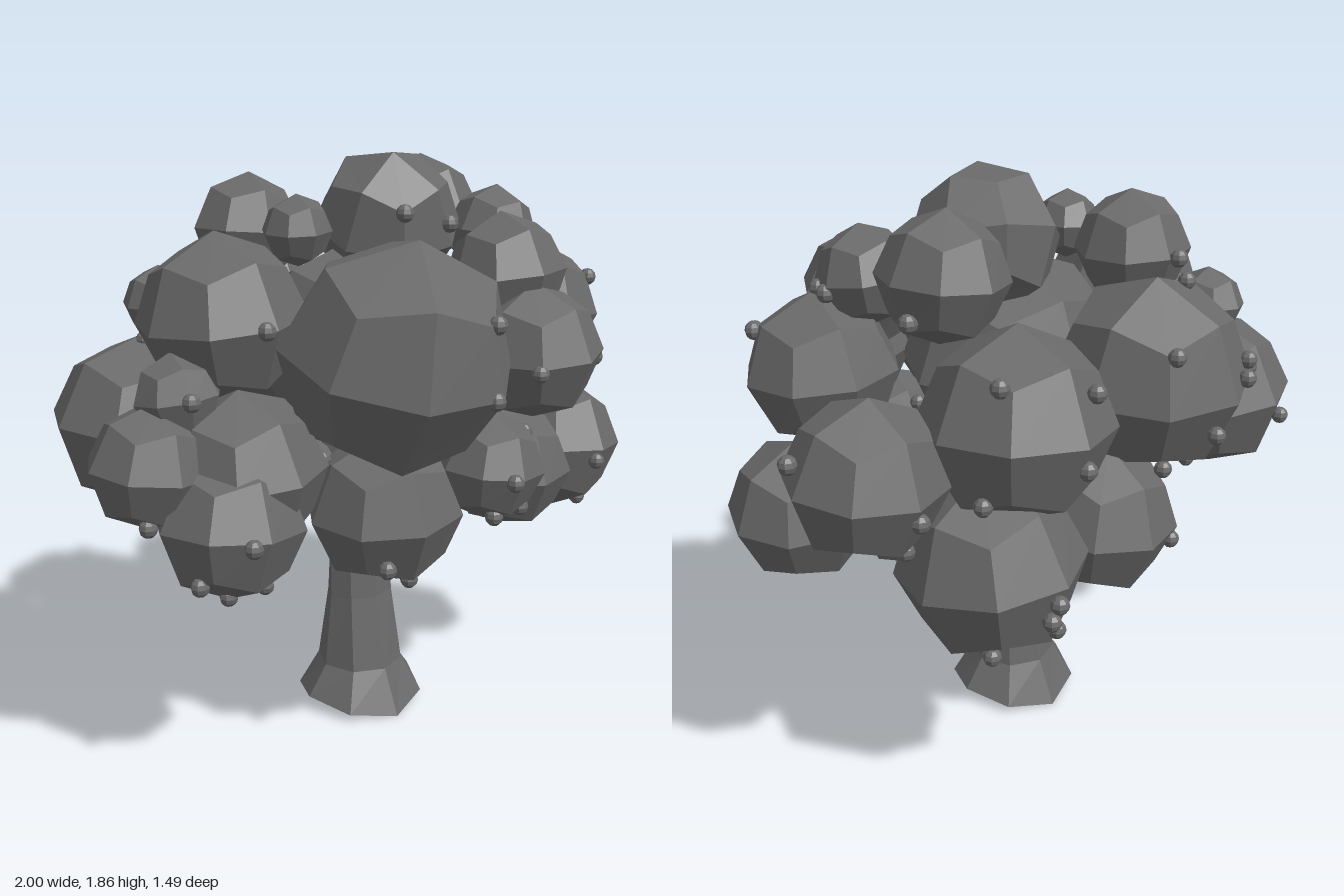
import * as THREE from 'three';

const grey = new THREE.MeshStandardMaterial({ color: 0x696969, flatShading: true });

// Leaf clumps: x, y, z, radius
const CLUMPS = [
  [-0.52, 1.4, 0.02, 0.26], [-0.66, 1.05, -0.28, 0.275], [-0.72, 1.21, 0.1, 0.13],
  [-0.81, 1.02, 0.1, 0.19], [-0.55, 0.98, 0.18, 0.245], [-0.64, 0.85, 0.24, 0.225],
  [-0.16, 0.83, 0.34, 0.245], [0.69, 0.86, 0.21, 0.235], [0.37, 1.26, 0.42, 0.22],
  [0.14, 0.94, 0.48, 0.17], [0.37, 1.49, 0.28, 0.195], [0.5, 1.6, 0.07, 0.15],
  [0.46, 1.65, -0.24, 0.19], [-0.25, 1.62, -0.27, 0.18], [-0.25, 1.64, 0.02, 0.11],
  [-0.16, 1.28, -0.45, 0.31], [0.37, 1.26, -0.44, 0.285], [0.63, 1.33, 0.13, 0.235],
  [0.77, 1.16, -0.28, 0.235], [0.45, 0.84, -0.42, 0.285], [0.04, 0.86, -0.45, 0.24],
  [0.42, 0.84, 0, 0.19], [-0.53, 1.4, -0.35, 0.12], [-0.36, 0.87, -0.1, 0.15],
  [0.39, 0.85, 0.3, 0.21], [0, 1.25, 0, 0.36],
  // Clumps with a strong turn: rotation about x, y, z
  [-0.17, 1.31, 0.405, 0.355, 0.28, -0.4, 0], [0.1, 1.645, 0.01, 0.24, 0.3, 0.4, 0.2],
];

// Berry spots, each pair read across one viewing axis
const FRONT_SPOTS = [
  [-0.52, 1.4], [-0.05, 1.43], [-0.06, 1.22], [0.01, 1.69], [0.18, 1.65], [0.77, 1.44],
  [0.64, 1.57], [0.24, 1.23], [0.56, 1.23], [0.97, 1.24], [-0.74, 1.22], [-0.33, 0.99],
  [-0.69, 0.85], [0.1, 0.93], [0.34, 1], [0.46, 1.04], [0.68, 0.84], [0.7, 1.1],
  [-0.27, 0.7], [-0.53, 0.63], [-0.67, 0.64], [-0.14, 0.62], [0.1, 0.8], [0.21, 0.81],
  [0.49, 0.62], [0.75, 0.66], [-0.87, 0.87], [-0.79, 0.72],
];
const SIDE_SPOTS = [ // z, y
  [0.27, 1.44], [0.13, 1.57], [-0.12, 1.53], [-0.28, 1.56], [-0.46, 1.62], [-0.56, 1.44],
  [-0.67, 1.42], [-0.72, 1.16], [-0.22, 1.24], [0.18, 1.1], [0.05, 1.1], [-0.53, 1.1],
  [-0.34, 0.93], [-0.71, 0.83], [-0.68, 0.76], [-0.25, 0.61], [-0.39, 0.56], [-0.53, 0.61],
];
const BACK_SPOTS = [
  [-0.3, 1.3], [-0.1, 1.02], [-0.1, 0.8], [-0.6, 1.2], [0.35, 1.2], [0.4, 0.7],
  [-0.75, 1.0], [0.75, 1.1], [-0.5, 0.85],
];
const TOP_SPOTS = [[-0.28, -0.47], [-0.64, -0.25], [0.02, 0.24], [0.18, 0.24], [0.28, -0.66], [-0.36, -0.66]];

// Twenty-four flat kite faces: a split cube pushed out to a sphere
function clumpGeometry() {
  const geo = new THREE.BoxGeometry(2, 2, 2, 2, 2, 2);
  const p = geo.attributes.position;
  const v = new THREE.Vector3();
  for (let i = 0; i < p.count; i++) {
    v.fromBufferAttribute(p, i);
    const corner = Math.abs(v.x * v.y * v.z) > 0.5;
    v.setLength(corner ? 0.95 : 1);
    p.setXYZ(i, v.x, v.y, v.z);
  }
  return geo;
}

// Outermost clump surface on a line along one axis, or the depth of the nearest clump
function surfaceDepth(axis, sign, a, b) {
  const [i, j] = [0, 1, 2].filter((k) => k !== axis);
  let best = -Infinity, gap = Infinity, fallback = 0;
  for (const c of CLUMPS) {
    const d = Math.hypot(a - c[i], b - c[j]);
    const r = c[3] * 0.95;
    if (d < r) best = Math.max(best, sign * c[axis] + Math.sqrt(r * r - d * d));
    if (d - r < gap) { gap = d - r; fallback = sign * c[axis]; }
  }
  return sign * (best > -Infinity ? best : fallback);
}

// Tapered limb swept through rings of [x, y, z, radiusX, radiusZ]
function limb(name, rings, sides) {
  const pos = [], idx = [];
  for (const [x, y, z, rx, rz] of rings) {
    for (let s = 0; s < sides; s++) {
      const t = (s / sides) * Math.PI * 2;
      pos.push(x + Math.sin(t) * rx, y, z + Math.cos(t) * rz);
    }
  }
  for (let k = 0; k < rings.length - 1; k++) {
    for (let s = 0; s < sides; s++) {
      const a = k * sides + s, b = k * sides + (s + 1) % sides;
      idx.push(a, b, b + sides, a, b + sides, a + sides);
    }
  }
  // End caps
  const last = (rings.length - 1) * sides;
  for (let s = 1; s < sides - 1; s++) {
    idx.push(0, s + 1, s, last, last + s, last + s + 1);
  }
  const geo = new THREE.BufferGeometry();
  geo.setAttribute('position', new THREE.Float32BufferAttribute(pos, 3));
  geo.setIndex(idx);
  geo.computeVertexNormals();
  const mesh = new THREE.Mesh(geo, grey);
  mesh.name = name;
  return mesh;
}

export function createModel() {
  const tree = new THREE.Group();
  tree.name = 'tree';

  // Trunk with a flared foot that dips to the ground at front and back
  const trunk = limb('trunk', [
    [0, 0.04, 0, 0.215, 0.215], [0, 0.15, 0, 0.145, 0.145],
    [0, 0.4, 0, 0.12, 0.095], [0, 0.63, 0, 0.115, 0.075],
  ], 8);
  const p = trunk.geometry.attributes.position;
  for (let s = 0; s < 8; s++) p.setY(s, 0.05 * Math.sin((s / 8) * Math.PI * 2) ** 2);
  tree.add(trunk);

  // Branches rising into the crown
  const branches = new THREE.Group();
  branches.name = 'branches';
  branches.add(
    limb('rightBranch', [[-0.05, 0.56, 0, 0.06, 0.07], [-0.16, 0.8, 0.02, 0.055, 0.055], [-0.4, 1.05, 0.05, 0.04, 0.04]], 6),
    limb('middleBranch', [[0.04, 0.56, 0, 0.085, 0.07], [0.11, 0.76, 0.03, 0.085, 0.07], [0.2, 1.1, 0.1, 0.05, 0.05]], 6),
    limb('leftBranch', [[0.06, 0.5, -0.02, 0.06, 0.055], [0.27, 0.7, -0.08, 0.07, 0.055], [0.55, 0.98, -0.17, 0.045, 0.04]], 6),
    limb('backBranch', [[0, 0.54, -0.02, 0.085, 0.06], [-0.02, 0.74, -0.16, 0.075, 0.06], [-0.05, 1.0, -0.36, 0.05, 0.05]], 6),
  );
  tree.add(branches);

  // Crown of faceted leaf clumps, most of them only slightly turned
  const crown = new THREE.Group();
  crown.name = 'crown';
  const clump = clumpGeometry();
  CLUMPS.forEach(([x, y, z, r, rx, ry, rz], i) => {
    const mesh = new THREE.Mesh(clump, grey);
    mesh.name = 'leafClump';
    mesh.position.set(x, y, z);
    mesh.scale.setScalar(r);
    mesh.rotation.set(rx ?? 0.08 * Math.sin(i * 2.4), ry ?? 0.15 * Math.sin(i * 1.7 + 1), rz ?? 0.08 * Math.cos(i * 3.1));
    crown.add(mesh);
  });
  tree.add(crown);

  // Small berries scattered over the crown
  const berries = new THREE.Group();
  berries.name = 'berries';
  const berryGeo = new THREE.SphereGeometry(0.028, 8, 6);
  const addBerry = (x, y, z) => {
    const mesh = new THREE.Mesh(berryGeo, grey);
    mesh.name = 'berry';
    mesh.position.set(x, y, z);
    berries.add(mesh);
  };
  for (const [x, y] of FRONT_SPOTS) addBerry(x, y, surfaceDepth(2, 1, x, y));
  for (const [x, y] of BACK_SPOTS) addBerry(x, y, surfaceDepth(2, -1, x, y));
  for (const [z, y] of SIDE_SPOTS) addBerry(surfaceDepth(0, 1, y, z), y, z);
  for (const [x, z] of TOP_SPOTS) addBerry(x, surfaceDepth(1, 1, x, z), z);
  tree.add(berries);

  return tree;
}
